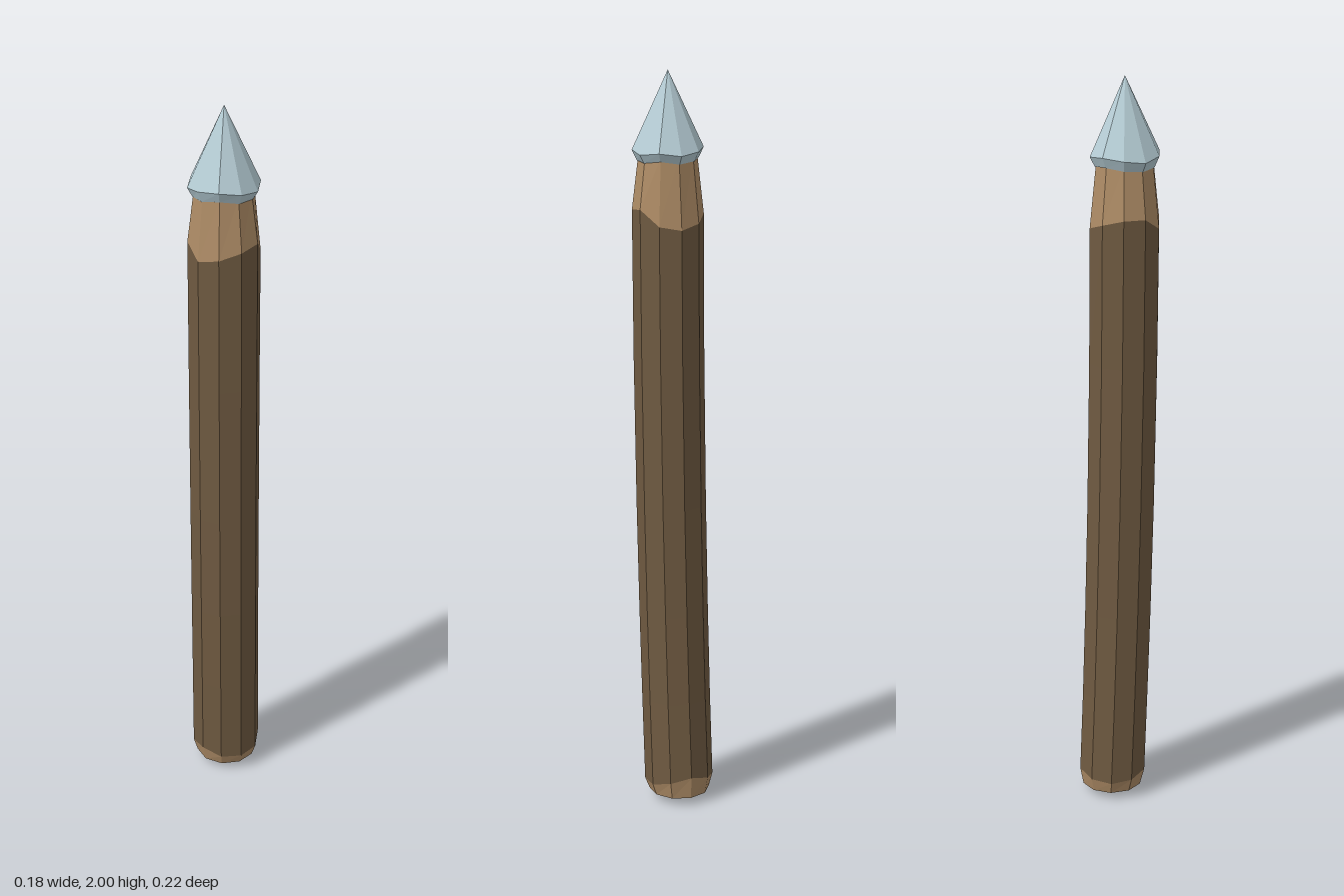
import * as THREE from 'three';

const SIDES = 10;

// The shaft bows gently forward as it rises
const bend = (y) => {
  const t = Math.min(Math.max(y / 1.8, 0), 1);
  return -0.018 + 0.037 * (1 - (1 - t) ** 2);
};

// One ring of points; height is a number or one value per side
function ring(radius, height) {
  return Array.from({ length: SIDES }, (_, i) => {
    const a = (i / SIDES) * Math.PI * 2;
    const y = Array.isArray(height) ? height[i] : height;
    return [radius * Math.sin(a), y, radius * Math.cos(a) + bend(y)];
  });
}

// Faceted skin joining rings from bottom to top
function skin(name, rings, material) {
  const pos = [];
  for (let r = 0; r < rings.length - 1; r++) {
    for (let i = 0; i < SIDES; i++) {
      const j = (i + 1) % SIDES;
      const a = rings[r][i], b = rings[r][j], c = rings[r + 1][j], d = rings[r + 1][i];
      pos.push(...a, ...b, ...c, ...a, ...c, ...d);
    }
  }
  const geo = new THREE.BufferGeometry();
  geo.setAttribute('position', new THREE.Float32BufferAttribute(pos, 3));
  geo.computeVertexNormals();
  const mesh = new THREE.Mesh(geo, material);
  mesh.name = name;
  return mesh;
}

function material(name, color) {
  const m = new THREE.MeshStandardMaterial({ color });
  m.name = name;
  return m;
}

export function createModel() {
  const bark = material('bark', 0x6f5a41);
  const wood = material('cutWood', 0xae8c66);
  const steel = material('steel', 0xb6cdd5);

  // Uneven edges where the bark has been cut away
  const lowCut = [0.055, 0.052, 0.055, 0.07, 0.085, 0.07, 0.06, 0.055, 0.06, 0.07];
  const highCut = [1.625, 1.642, 1.65, 1.61, 1.6, 1.612, 1.63, 1.645, 1.645, 1.612];
  const collar = [1.778, 1.77, 1.768, 1.775, 1.768, 1.772, 1.776, 1.77, 1.766, 1.77];
  const rim = [1.805, 1.797, 1.79, 1.797, 1.79, 1.797, 1.803, 1.797, 1.79, 1.8];

  const group = new THREE.Group();
  group.name = 'woodenStake';
  group.add(
    // Rounded cut foot
    skin('foot', [ring(0, 0), ring(0.083, 0.022), ring(0.094, lowCut)], wood),
    // Bark-covered shaft
    skin('shaft', [
      ring(0.094, lowCut),
      ...[0.3, 0.55, 0.85, 1.25].map((y) => ring(0.0935, y)),
      ring(0.0935, highCut),
    ], bark),
    // Tapered neck
    skin('neck', [ring(0.0935, highCut), ring(0.076, 1.785)], wood),
    // Pointed head with a bevelled rim
    skin('head', [ring(0.06, 1.775), ring(0.08, collar), ring(0.093, rim), ring(0, 2)], steel),
  );
  return group;
}
